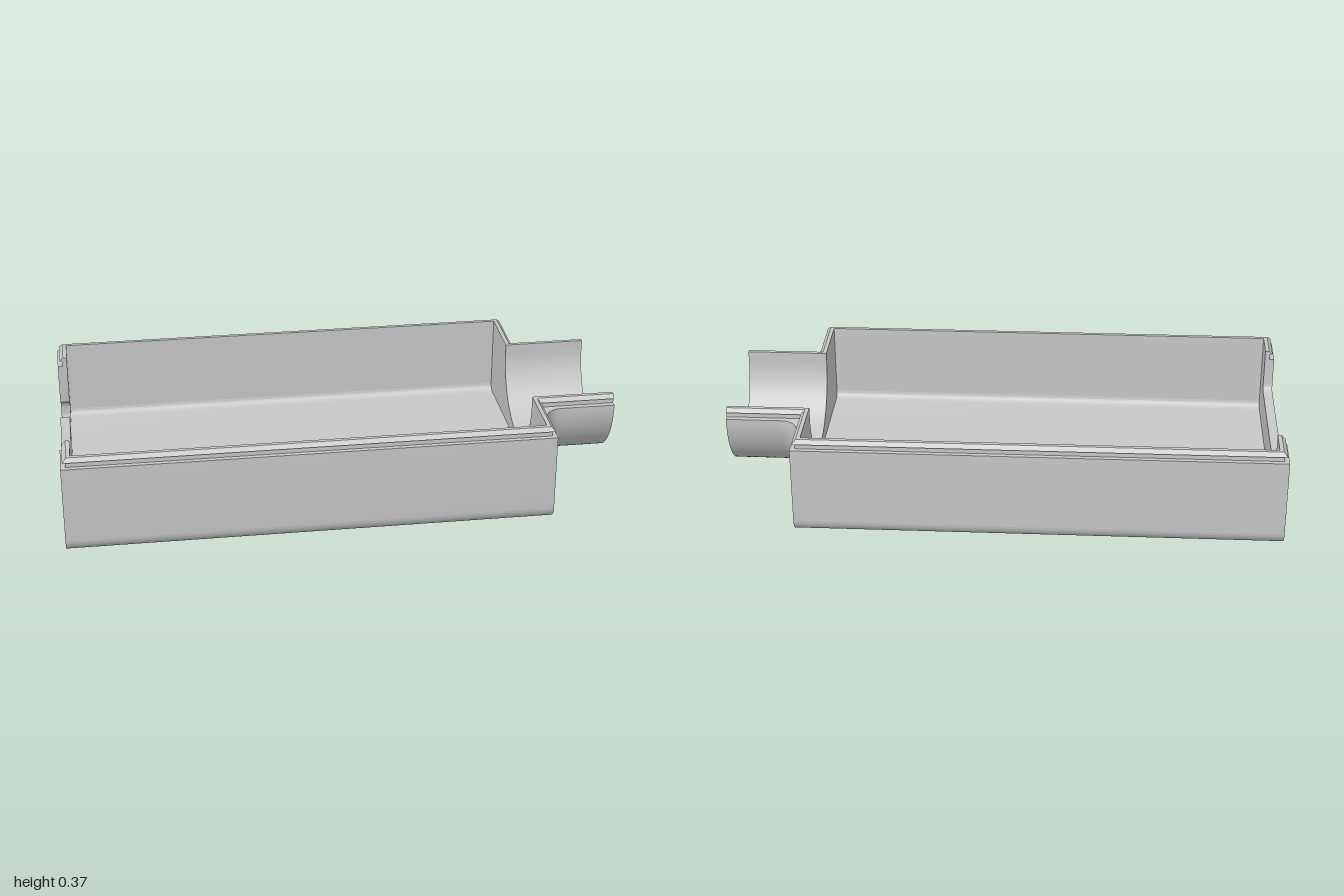
import * as THREE from 'three';
import { toCreasedNormals } from 'three/addons/utils/BufferGeometryUtils.js';

const RIM = 0.335;           // height of the walls below the lip
const HALF = 0.48;           // outer half width
const T = 0.035;             // wall thickness
const FLOOR = 0.075;         // top of the thick floor
const X0 = -1, X1 = 0.737;   // ends of the tray
const R_IN = 0.222, R_OUT = 0.26, FILLET = 0.063;

// Starts an outline at the left rim, runs around the rounded bottom to the right rim
function outerOutline() {
  const s = new THREE.Shape();
  const r = 0.055;
  s.moveTo(-HALF, RIM);
  s.lineTo(-HALF, r);
  s.absarc(-HALF + r, r, r, Math.PI, 1.5 * Math.PI, false);
  s.lineTo(HALF - r, 0);
  s.absarc(HALF - r, r, r, 1.5 * Math.PI, 2 * Math.PI, false);
  s.lineTo(HALF, RIM);
  return s;
}

// Extrudes a (-z, y) outline along x
function extrudeX(shape, x, length) {
  const g = new THREE.ExtrudeGeometry(shape, { depth: length, bevelEnabled: false, curveSegments: 24 });
  g.rotateY(Math.PI / 2).translate(x, 0, 0);
  return toCreasedNormals(g, 0.5);
}

// Sweeps the stepped, chamfered lip along the rim with mitred corners
function lipGeometry(endZ, side) {
  const section = [[0, 0.37], [0, RIM], [0.018, RIM], [0.018, 0.356], [0.028, 0.356], [0.014, 0.37]];
  const w = HALF - T, xa = X0 + T, xb = X1 - T;
  const path = [[xa, -endZ], [xa, -w], [xb, -w], [xb, -R_IN], [1, -R_IN]];
  const normals = path.slice(1).map((p, i) => {
    const dx = p[0] - path[i][0], dz = p[1] - path[i][1], l = Math.hypot(dx, dz);
    return [dz / l, -dx / l];
  });
  const rings = path.map((p, i) => {
    const a = normals[Math.max(i - 1, 0)], b = normals[Math.min(i, normals.length - 1)];
    const m = a === b ? a : [a[0] + b[0], a[1] + b[1]];
    return section.map(([d, y]) => [p[0] + m[0] * d, y, side * (p[1] + m[1] * d)]);
  });
  const pos = [];
  const tri = (a, b, c) => pos.push(...a, ...(side > 0 ? b : c), ...(side > 0 ? c : b));
  const n = section.length;
  for (let i = 0; i < rings.length - 1; i++) {
    for (let k = 0; k < n; k++) {
      const j = (k + 1) % n, A = rings[i], B = rings[i + 1];
      tri(A[k], A[j], B[k]);
      tri(A[j], B[j], B[k]);
    }
  }
  const first = rings[0], last = rings[rings.length - 1];
  for (let k = 1; k < n - 1; k++) {
    tri(first[0], first[k + 1], first[k]);
    tri(last[0], last[k], last[k + 1]);
  }
  const g = new THREE.BufferGeometry();
  g.setAttribute('position', new THREE.Float32BufferAttribute(pos, 3));
  g.computeVertexNormals();
  return g;
}

export function createModel() {
  const group = new THREE.Group();
  const grey = new THREE.MeshStandardMaterial({ color: 0xc8c8c8 });
  grey.name = 'light grey plastic';
  const add = (name, geometry) => {
    const mesh = new THREE.Mesh(geometry, grey);
    mesh.name = name;
    group.add(mesh);
  };

  // Thick floor and long side walls, with a small inner fillet
  const trough = outerOutline();
  const w = HALF - T, f = 0.025;
  trough.lineTo(w, RIM);
  trough.lineTo(w, FLOOR + f);
  trough.absarc(w - f, FLOOR + f, f, 0, -Math.PI / 2, true);
  trough.lineTo(-w + f, FLOOR);
  trough.absarc(-w + f, FLOOR + f, f, -Math.PI / 2, -Math.PI, true);
  trough.lineTo(-w, RIM);
  trough.closePath();
  add('floorAndSideWalls', extrudeX(trough, X0 + T, X1 - X0 - 2 * T));

  // End wall with the half-round opening
  const spoutWall = outerOutline();
  spoutWall.lineTo(R_IN, RIM);
  spoutWall.absarc(0, RIM, R_IN, 0, -Math.PI, true);
  spoutWall.closePath();
  add('spoutEndWall', extrudeX(spoutWall, X1 - T, T));

  // Opposite end wall: corner posts, low middle and a hooked slot down to the floor
  const slotWall = outerOutline();
  slotWall.lineTo(0.335, RIM);
  slotWall.lineTo(0.335, 0.195);
  slotWall.bezierCurveTo(0.335, 0.16, 0.4, 0.175, 0.4, 0.13);
  slotWall.lineTo(0.4, FLOOR + 0.03);
  slotWall.absarc(0.37, FLOOR + 0.03, 0.03, 0, -Math.PI / 2, true);
  slotWall.lineTo(0.22, FLOOR);
  slotWall.absarc(0.22, FLOOR + 0.03, 0.03, -Math.PI / 2, -Math.PI, true);
  slotWall.lineTo(0.19, 0.175);
  slotWall.quadraticCurveTo(0.19, 0.205, 0.16, 0.205);
  slotWall.lineTo(-0.3, 0.205);
  slotWall.quadraticCurveTo(-0.333, 0.205, -0.333, 0.238);
  slotWall.lineTo(-0.333, RIM);
  slotWall.closePath();
  add('slottedEndWall', extrudeX(slotWall, X0, T));

  // Half-pipe spout
  const pipe = new THREE.Shape();
  pipe.absarc(0, RIM, R_OUT, Math.PI, 2 * Math.PI, false);
  pipe.lineTo(R_IN, RIM);
  pipe.absarc(0, RIM, R_IN, 0, -Math.PI, true);
  pipe.closePath();
  add('spout', extrudeX(pipe, X1, 1 - X1));

  // Concave flare joining the spout to the wall
  const arc = [];
  for (let i = 0; i <= 10; i++) {
    const t = (i / 10) * Math.PI / 2;
    arc.push(new THREE.Vector2(R_OUT + FILLET * (1 - Math.sin(t)), X1 + FILLET * (1 - Math.cos(t))));
  }
  const flare = new THREE.LatheGeometry(arc, 48, 0, Math.PI);
  flare.rotateZ(-Math.PI / 2).translate(0, RIM, 0);
  add('spoutFlare', flare);

  // Flat tops of the flare and the lip, on both sides
  for (const side of [1, -1]) {
    const outline = [new THREE.Vector2(X1, side * R_OUT), ...arc.map((p) => new THREE.Vector2(p.y, side * p.x))];
    const cap = new THREE.ShapeGeometry(new THREE.Shape(outline));
    cap.rotateX(-Math.PI / 2).translate(0, RIM, 0);
    add(side > 0 ? 'flareTopBack' : 'flareTopFront', cap);
    add(side > 0 ? 'lipBack' : 'lipFront', lipGeometry(side > 0 ? 0.335 : 0.333, side));
  }
  return group;
}
